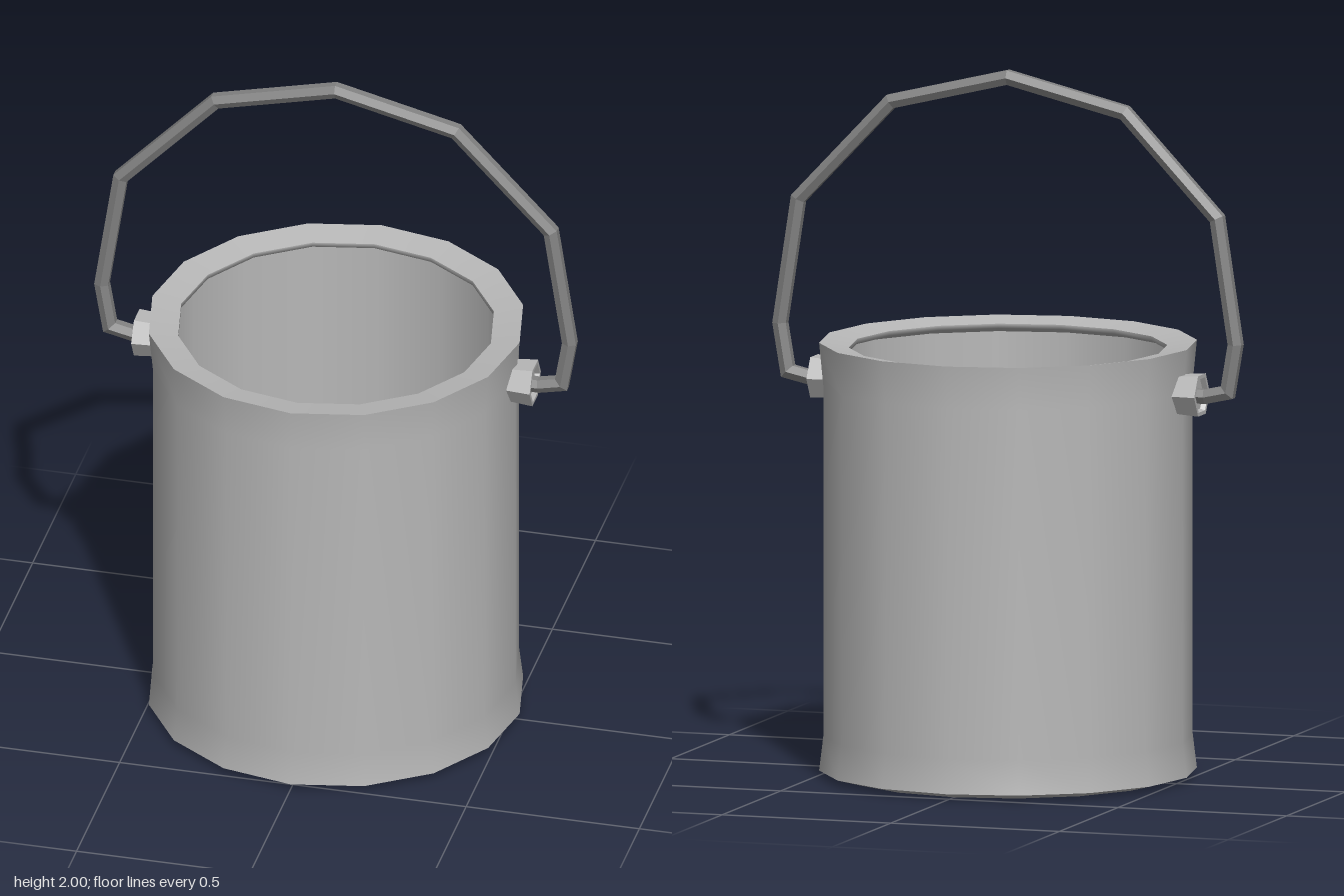
import * as THREE from 'three';

const SIDES = 16;

// Gives a geometry hard facets
function faceted(geometry) {
  const g = geometry.toNonIndexed();
  g.computeVertexNormals();
  return g;
}

// Turns a profile of [radius, height] points about the y axis
function turned(points, sides) {
  return new THREE.LatheGeometry(points.map(([x, y]) => new THREE.Vector2(x, y)), sides);
}

// Sweeps a six-sided bar along a path in the xy plane, with mitred bends
function mitredBar(points, radius, sides = 6) {
  const path = points.map(([x, y]) => new THREE.Vector2(x, y));
  const last = path.length - 1;
  const position = [], index = [];
  path.forEach((p, i) => {
    const a = path[Math.min(i + 1, last)].clone().sub(path[Math.min(i, last - 1)]).normalize();
    const b = path[Math.max(i, 1)].clone().sub(path[Math.max(i - 1, 0)]).normalize();
    const t = a.clone().add(b).normalize();
    const miter = 1 / t.dot(a);
    for (let s = 0; s < sides; s++) {
      const angle = (s / sides) * Math.PI * 2;
      const r = Math.sin(angle) * radius * miter;
      position.push(p.x - t.y * r, p.y + t.x * r, Math.cos(angle) * radius);
    }
  });
  for (let i = 0; i < last; i++) {
    for (let s = 0; s < sides; s++) {
      const n = (s + 1) % sides;
      const a = i * sides + s, b = i * sides + n;
      index.push(a, a + sides, b, b, a + sides, b + sides);
    }
  }
  const g = new THREE.BufferGeometry();
  g.setAttribute('position', new THREE.Float32BufferAttribute(position, 3));
  g.setIndex(index);
  return faceted(g);
}

export function createModel() {
  const model = new THREE.Group();
  model.name = 'bucket';
  const tin = new THREE.MeshStandardMaterial({ color: 0xb8b8b8 });
  tin.name = 'light grey tin';
  const wire = new THREE.MeshStandardMaterial({ color: 0x828282 });
  wire.name = 'dark grey wire';

  const add = (name, geometry, material, parent = model) => {
    const mesh = new THREE.Mesh(geometry, material);
    mesh.name = name;
    parent.add(mesh);
    return mesh;
  };

  // Bucket shell: separate turned surfaces keep the rim and base edges sharp
  const shell = new THREE.Group();
  shell.name = 'shell';
  model.add(shell);
  const profiles = {
    base: [[0, 0.004], [0.46, 0.004], [0.53, 0.022]],
    outerWall: [[0.53, 0.022], [0.518, 0.12], [0.518, 1.11], [0.53, 1.232]],
    rim: [[0.53, 1.232], [0.447, 1.218]],
    lip: [[0.447, 1.218], [0.447, 1.205], [0.495, 1.19]],
    innerWall: [[0.495, 1.19], [0.495, 0.03]],
    floor: [[0.495, 0.03], [0, 0.03]],
  };
  for (const [name, points] of Object.entries(profiles)) {
    add(name, turned(points, SIDES), tin, shell);
  }

  // Hexagonal nuts where the handle meets the wall, slightly dished at the end
  const nutProfile = [[0.06, 0], [0.066, 0.072], [0.054, 0.072], [0.049, 0.058], [0, 0.058]];
  for (const side of [1, -1]) {
    const nut = add(side > 0 ? 'leftNut' : 'rightNut', faceted(turned(nutProfile, 6)), tin);
    nut.rotation.z = -side * Math.PI / 2;
    nut.position.set(side * 0.503, 1.107, 0);
  }

  // Bent wire handle, mirrored about its peak
  const half = [[0.5, 1.107], [0.585, 1.103], [0.652, 1.118], [0.675, 1.254], [0.621, 1.608], [0.347, 1.895]];
  const path = [...half, [0, 1.979], ...half.slice().reverse().map(([x, y]) => [-x, y])];
  add('handle', mitredBar(path, 0.023), wire);

  return model;
}
